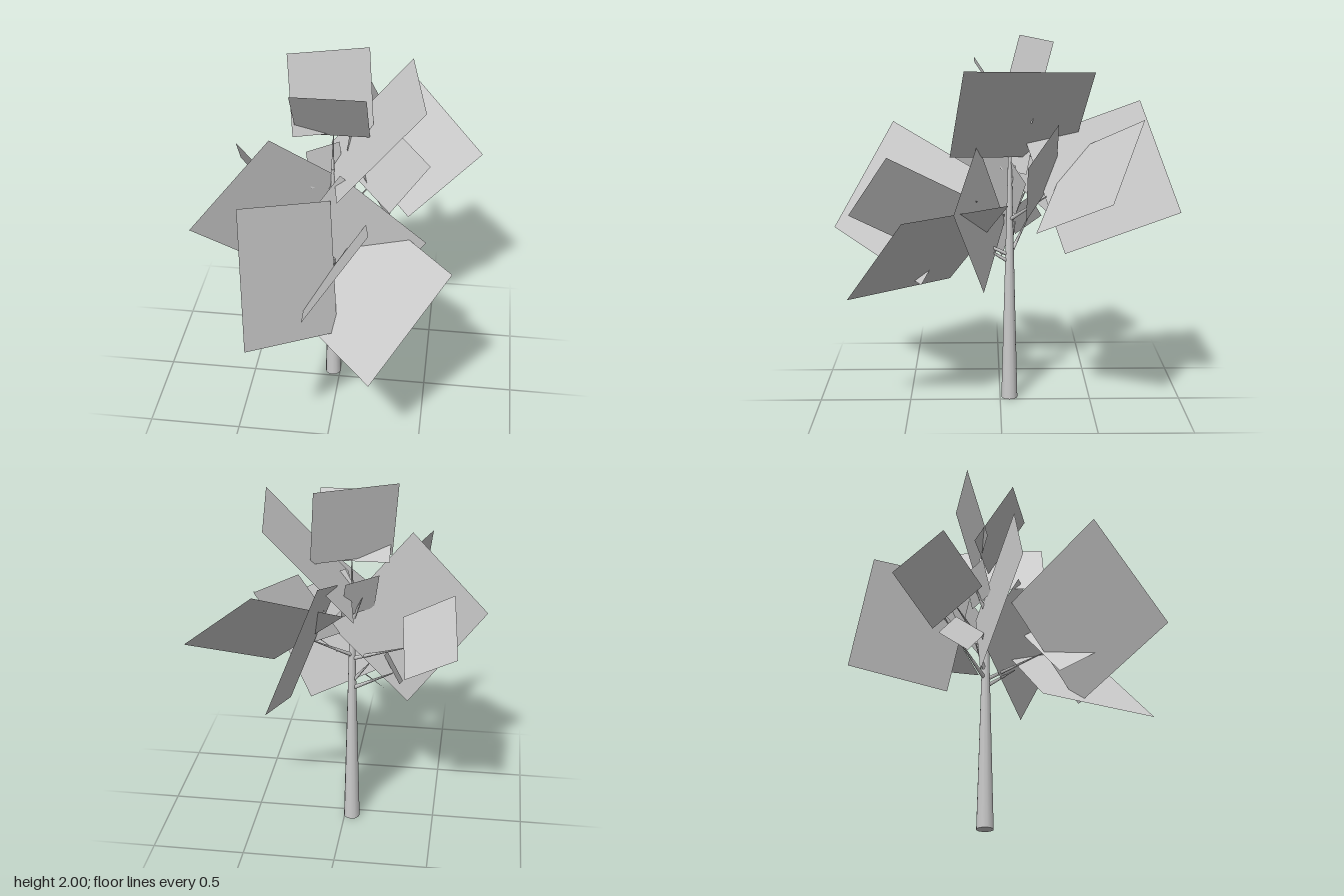
import * as THREE from 'three';

const grey = new THREE.MeshStandardMaterial({ color: 0xcccccc });
const leafGrey = new THREE.MeshStandardMaterial({ color: 0xcccccc, side: THREE.DoubleSide });
const vec = (p) => new THREE.Vector3(...p);

// Flat four-cornered leaf card: an outer corner, its neighbour, and the edge running inward
function leafCard(corner, next, inward) {
  const a = vec(corner), b = vec(next), e = vec(inward);
  const c = b.clone().add(e), d = a.clone().add(e);
  const geo = new THREE.BufferGeometry().setFromPoints([a, b, c, a, c, d]);
  geo.computeVertexNormals();
  const mesh = new THREE.Mesh(geo, leafGrey);
  mesh.name = 'leafCard';
  return mesh;
}

// Tapered stick between two points
function stick(name, from, to, r0, r1, sides) {
  const a = vec(from), b = vec(to), dir = b.clone().sub(a);
  const mesh = new THREE.Mesh(new THREE.CylinderGeometry(r1, r0, dir.length(), sides), grey);
  mesh.position.copy(a).add(b).multiplyScalar(0.5);
  mesh.quaternion.setFromUnitVectors(new THREE.Vector3(0, 1, 0), dir.normalize());
  mesh.name = name;
  return mesh;
}

export function createModel() {
  const tree = new THREE.Group();
  tree.name = 'tree';

  // Trunk and its thin leader
  tree.add(stick('trunk', [-0.04, 0, -0.052], [-0.04, 1.38, -0.052], 0.045, 0.009, 12));
  tree.add(stick('leader', [-0.04, 1.38, -0.052], [-0.04, 1.58, -0.08], 0.009, 0.002, 6));

  // Branches: height on the trunk, then the tip where the leaf cards meet
  const branches = [
    [0.78, [0, 0.88, 0.1]],
    [0.82, [0.01, 0.97, 0.25]],
    [0.86, [-0.135, 0.99, -0.085]],
    [0.82, [-0.27, 0.98, -0.16]],
    [1.0, [-0.32, 1.12, -0.145]],
    [1.02, [0.14, 1.18, -0.24]],
    [1.22, [-0.1, 1.38, -0.11]],
  ];
  for (const [y, tip] of branches) {
    tree.add(stick('branch', [-0.04, y, -0.052], tip, 0.012, 0.003, 6));
  }

  // Leaf cards: outer corner, neighbouring outer corner, inward edge
  const cards = [
    // crown
    [[-0.28, 2.0, -0.11], [0.125, 1.985, -0.272], [0.038, -0.415, 0.11]],
    [[-0.235, 1.885, 0.14], [0.152, 1.885, 0.135], [0, -0.318, -0.215]],
    [[0.45, 1.86, 0.185], [0.34, 1.845, -0.47], [-0.43, -0.49, 0.085]],
    [[-0.18, 1.48, -0.04], [-0.02, 1.475, -0.18], [0.03, -0.2, 0.04]],
    // front
    [[-0.42, 1.51, 0.6], [-0.34, 0.915, 0.94], [0.385, -0.24, -0.51]],
    [[0.215, 1.4, 0.59], [-0.08, 1.035, 0.83], [-0.058, -0.242, -0.468]],
    [[0.625, 1.14, 0.49], [0.248, 0.65, 0.81], [-0.44, 0, -0.53]],
    [[0.48, 1.15, 0.24], [0.02, 1.445, 0.12], [-0.27, -0.475, -0.15]],
    // right
    [[-0.335, 1.65, 0.165], [-0.75, 1.155, 0.285], [0.41, -0.415, -0.3]],
    [[-0.58, 1.44, -0.16], [-0.615, 1.2, -0.415], [0.275, -0.2, 0.145]],
    [[-0.33, 0.98, -0.24], [-0.3, 0.88, -0.09], [0.09, 0.13, 0.07]],
    // back and left
    [[0.35, 1.61, -0.72], [0.745, 1.255, -0.525], [-0.385, -0.225, 0.347]],
    [[0.035, 1.675, -0.735], [0.255, 1.115, -0.935], [-0.01, -0.22, 0.6]],
    [[0.2, 1.57, -0.3], [0.47, 1.385, -0.13], [-0.21, -0.31, 0]],
  ];
  const foliage = new THREE.Group();
  foliage.name = 'foliage';
  for (const c of cards) foliage.add(leafCard(...c));
  tree.add(foliage);

  return tree;
}
